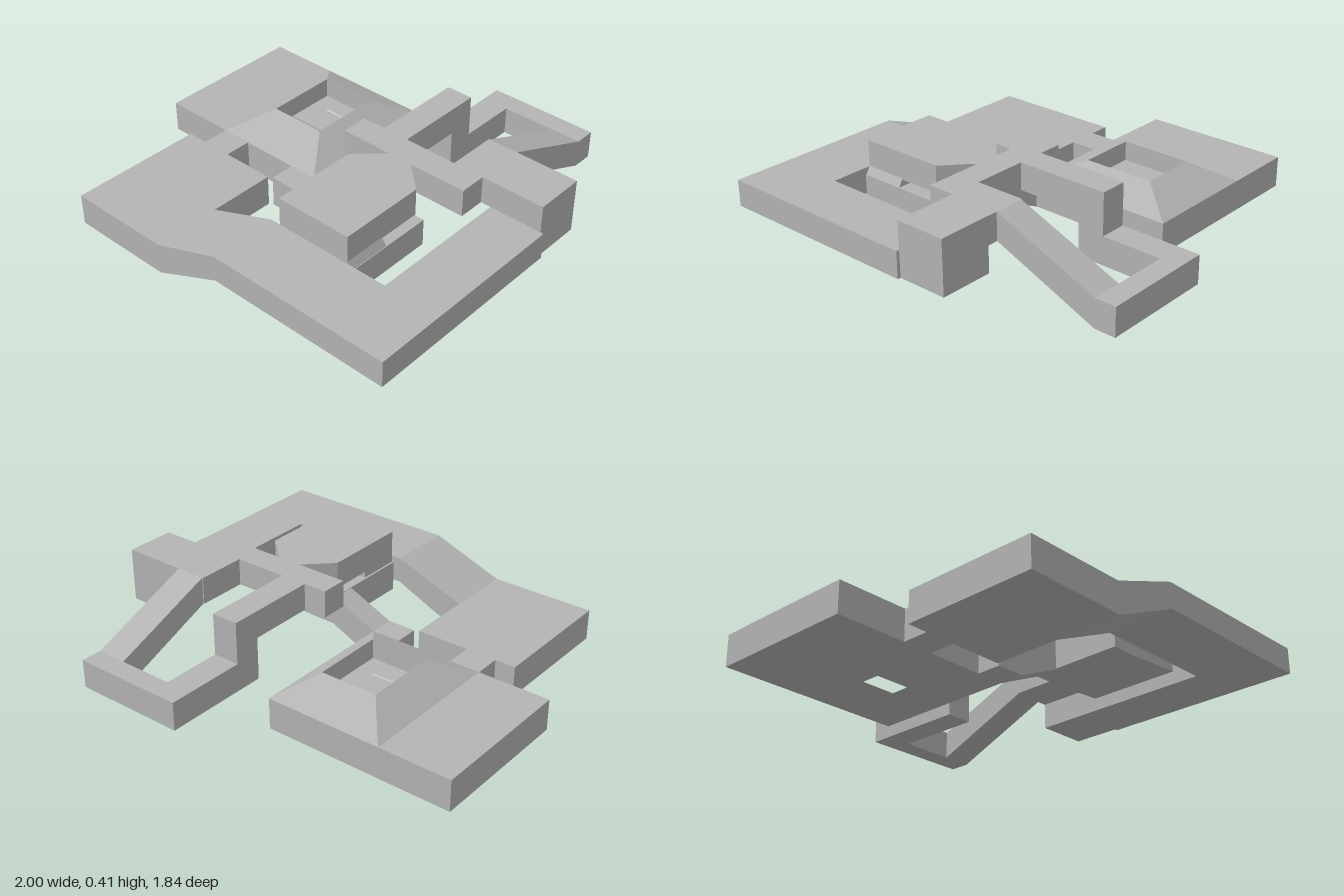
import * as THREE from 'three';

const stone = new THREE.MeshStandardMaterial({ color: 0xb4b4b4 });
stone.name = 'plain grey';

const rect = (x0, x1, z0, z1) => [[x0, z0], [x1, z0], [x1, z1], [x0, z1]];

export function createModel() {
  const model = new THREE.Group();

  const add = (name, geometry) => {
    const mesh = new THREE.Mesh(geometry, stone);
    mesh.name = name;
    model.add(mesh);
  };
  const extrude = (points, depth, holes = []) => {
    const toVectors = (list) => list.map(([a, b]) => new THREE.Vector2(a, b));
    const shape = new THREE.Shape(toVectors(points));
    holes.forEach((h) => shape.holes.push(new THREE.Path(toVectors(h))));
    return new THREE.ExtrudeGeometry(shape, { depth, bevelEnabled: false });
  };
  // Floor plan in x, z raised from y0 to y1
  const plan = (name, points, y0, y1, holes = []) => {
    const flip = (list) => list.map(([x, z]) => [x, -z]);
    add(name, extrude(flip(points), y1 - y0, holes.map(flip)).rotateX(-Math.PI / 2).translate(0, y0, 0));
  };
  // Side profile in x, y swept along z
  const alongZ = (name, points, z0, z1) => add(name, extrude(points, z1 - z0).translate(0, 0, z0));
  // Side profile in z, y swept along x
  const alongX = (name, points, x0, x1) =>
    add(name, extrude(points, x1 - x0).rotateY(-Math.PI / 2).translate(x1, 0, 0));

  // Front passage rising from the low room to the right-hand passage
  alongZ('frontPassage', [[-0.75, 0], [-0.24, 0], [0.11, 0.155], [1, 0.155], [1, 0.28],
    [0.11, 0.28], [-0.24, 0.15], [-0.75, 0.15]], 0.595, 0.92);
  plan('lowRoom', rect(-0.75, -0.24, 0.27, 0.595), 0, 0.15);
  plan('lowConnector', rect(-0.65, -0.5, 0.14, 0.27), 0, 0.15);
  plan('sidePassage', rect(0.73, 1, -0.08, 0.595), 0.155, 0.28);
  plan('sideShaft', rect(0.73, 0.985, -0.32, -0.08), 0.155, 0.41);

  // Back room with a central well and a small pocket underneath
  const room = rect(-1, -0.08, -0.58, 0.14);
  const well = rect(-0.5, -0.22, -0.4, -0.05);
  plan('backRoomBase', room, 0, 0.07, [well, rect(-0.87, -0.73, -0.34, -0.2)]);
  plan('backRoomTop', room, 0.07, 0.15, [well]);
  plan('wellBridge', rect(-0.5, -0.22, -0.305, -0.16), 0.07, 0.15);

  // Sloped collar around the well
  const at = (points, y) => points.map(([x, z]) => [x, y, z]);
  const base = at(rect(-0.65, -0.08, -0.58, 0.14), 0.15);
  const rim = at(well, 0.245);
  const foot = at(well, 0.15);
  const corners = [];
  for (let i = 0; i < 4; i++) {
    const j = (i + 1) % 4;
    for (const [low, high] of [[base, rim], [rim, foot]]) {
      corners.push(low[i], high[j], low[j], low[i], high[i], high[j]);
    }
  }
  const collar = new THREE.BufferGeometry();
  collar.setAttribute('position', new THREE.Float32BufferAttribute(corners.flat(), 3));
  collar.computeVertexNormals();
  add('wellCollar', collar);

  // Sloping passage into the chamber beneath the hall
  alongZ('middleRamp', [[-0.22, 0], [-0.08, 0], [0.15, 0.105], [0.15, 0.25], [-0.08, 0.15], [-0.22, 0.15]], 0.14, 0.26);
  alongZ('lowerChamber', [[0.145, 0.105], [0.27, 0.105], [0.555, 0.122], [0.555, 0.25], [0.145, 0.25]], 0.145, 0.592);
  alongZ('chamberLink', [[0.155, 0.245], [0.555, 0.245], [0.53, 0.285], [0.155, 0.285]], 0.38, 0.59);

  // Upper hall with a tapered neck, cross passage and arms
  plan('upperHall', [[0.28, 0.05], [0.4, 0.05], [0.53, 0.17], [0.53, 0.59], [0.155, 0.59], [0.155, 0.17]], 0.28, 0.41);
  plan('crossPassage', rect(0.025, 0.68, -0.08, 0.05), 0.28, 0.41);
  plan('sideArm', rect(0.53, 0.73, -0.32, -0.08), 0.28, 0.41);
  plan('backArm', rect(0.14, 0.27, -0.4, -0.08), 0.28, 0.41);
  plan('backShaft', rect(0.14, 0.27, -0.53, -0.4), 0.075, 0.41);

  // Back loop: level passage and ramp up to the side arm
  plan('loopArm', rect(0.14, 0.27, -0.82, -0.53), 0.075, 0.21);
  plan('loopEnd', rect(0.14, 0.68, -0.92, -0.82), 0.075, 0.21);
  alongX('loopRamp', [[-0.82, 0.075], [-0.32, 0.28], [-0.32, 0.41], [-0.82, 0.21]], 0.535, 0.68);

  return model;
}
